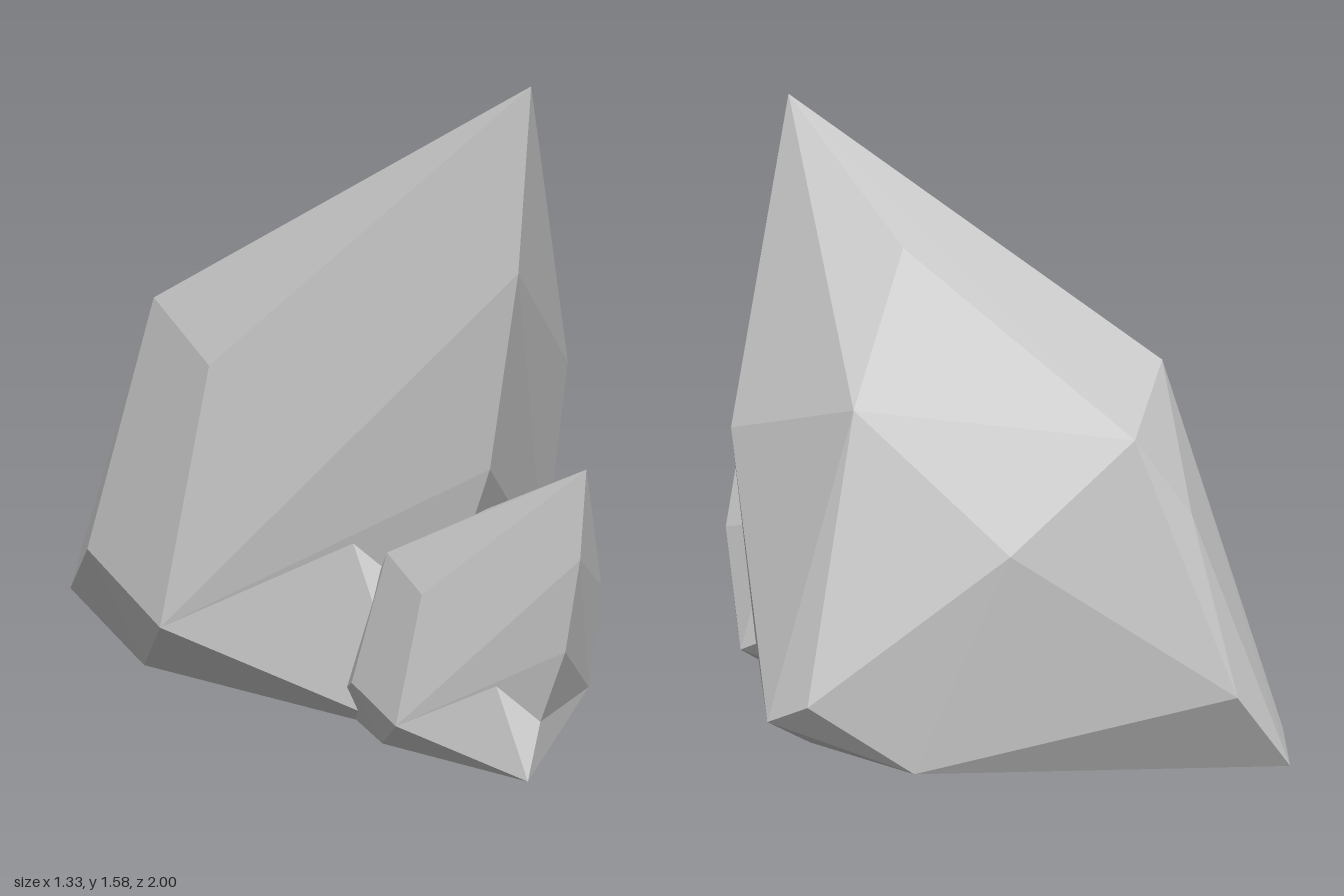
import * as THREE from 'three';
import { ConvexGeometry } from 'three/addons/geometries/ConvexGeometry.js';

const material = new THREE.MeshStandardMaterial({ color: 0xcccccc, flatShading: true });
const v = (x, y, z) => new THREE.Vector3(x, y, z);

// corners shared by the rock's body and its foot
const leftHollow = v(-0.34, 0.55, 0.35);
const frontHollow = v(-0.15, 0.295, 0.505);
const lowSide = v(0.43, 0.24, 0.10);
const baseSide = v(0.41, 0.02, -0.14);
const lowLeft = v(-0.66, 0.20, -0.02);
const baseLeft = v(-0.60, 0.02, -0.25);

// leaning, faceted body with an overhanging front
const body = [
  leftHollow, frontHollow, lowSide, baseSide, lowLeft, baseLeft,
  // peak and front ridge
  v(-0.02, 1.59, 0.67), v(-0.09, 1.17, 0.73), v(-0.11, 0.69, 0.65),
  // shoulders
  v(0.11, 1.25, -0.11), v(0.42, 0.91, -0.37), v(0.47, 0.79, 0.14),
  v(-0.51, 0.86, -0.02), v(-0.46, 0.96, -0.44),
  // back
  v(-0.04, 0.87, -0.86), v(-0.19, 0.68, -0.89), v(0.24, 0.61, -0.76), v(-0.25, 0.25, -1.0),
  // widest ring and base
  v(0.66, 0.18, -0.36), v(0.62, 0.24, -0.48), v(-0.67, 0.30, -0.44),
  v(0.40, 0.07, -0.60), v(-0.46, 0.03, -0.96), v(-0.56, 0.07, -0.82),
];

// toe that juts forward under the overhang
const foot = [leftHollow, frontHollow, lowSide, baseSide, lowLeft, baseLeft, v(-0.25, 0.02, 0.55)];

function makeRock(name) {
  const rock = new THREE.Group();
  rock.name = name;
  for (const [part, points] of [['rockBody', body], ['rockFoot', foot]]) {
    const mesh = new THREE.Mesh(new ConvexGeometry(points), material);
    mesh.name = part;
    rock.add(mesh);
  }
  return rock;
}

export function createModel() {
  const model = new THREE.Group();
  model.name = 'rocks';
  const large = makeRock('largeRock');

  // smaller copy tucked against the front
  const small = makeRock('smallRock');
  small.scale.setScalar(0.475);
  small.position.set(-0.05, 0, 0.65);

  model.add(large, small);
  return model;
}
